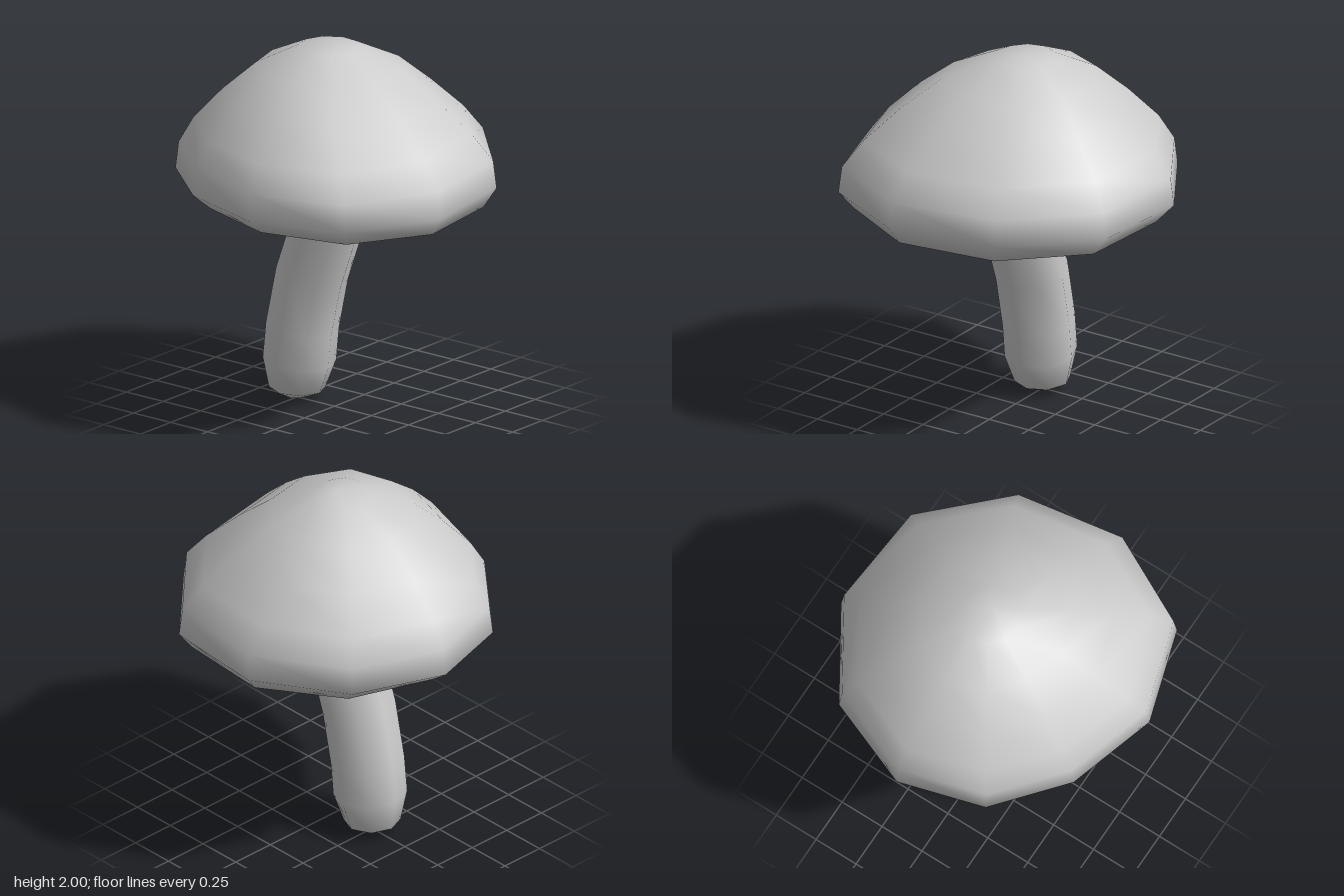
import * as THREE from 'three';
import { mergeVertices } from 'three/addons/utils/BufferGeometryUtils.js';

// Skin a stack of equal-sized closed rings, listed top to bottom, with smooth normals
function loft(rings) {
  const n = rings[0].length;
  const geo = new THREE.BufferGeometry().setFromPoints(rings.flat());
  const index = [];
  for (let i = 0; i < rings.length - 1; i++) {
    for (let j = 0; j < n; j++) {
      const k = (j + 1) % n;
      const a = i * n + j, b = i * n + k, c = a + n, d = b + n;
      index.push(a, b, c, b, d, c);
    }
  }
  geo.setIndex(index);
  const merged = mergeVertices(geo, 1e-4);
  merged.computeVertexNormals();
  return merged;
}

// Irregular ten-sided outline of the cap seen from above: x, z
const outline = [
  [0.07, -0.885], [0.56, -0.69], [0.86, -0.21], [0.81, 0.37], [0.39, 0.78],
  [-0.21, 0.88], [-0.70, 0.63], [-0.86, 0.12], [-0.71, -0.38], [-0.40, -0.75],
];

// Cap profile from the crown, over the rim and into the hollow underside:
// outline scale, height, shift in x, shift in z, dip towards the front left
const capProfile = [
  [0, 2.0, 0.03, -0.01, 0],
  [0.19, 1.98, 0.02, -0.05, 0],
  [0.46, 1.87, 0.01, -0.045, 0],
  [0.67, 1.72, 0, -0.035, 0],
  [0.87, 1.55, 0, -0.02, 0],
  [0.98, 1.415, 0, 0, 0],
  [1, 1.27, 0, 0, 0],
  [0.9, 1.178, 0, 0.02, 0.014],
  [0.82, 1.22, 0, 0.02, 0.012],
  [0.6, 1.38, 0, 0.02, 0],
  [0.35, 1.5, 0, 0.03, 0],
  [0, 1.54, 0, 0.04, 0],
];

// Stem stations from the flared joint to the rounded foot: y, z, radius
const stemStations = [
  [1.53, 0.045, 0.27],
  [1.43, 0.04, 0.215],
  [1.13, 0, 0.195],
  [0.71, -0.15, 0.195],
  [0.41, -0.215, 0.195],
  [0.22, -0.235, 0.195],
  [0.06, -0.25, 0.15],
  [0.012, -0.245, 0.06],
  [0.002, -0.245, 0],
];

function stemRing([y, z, r], i, all) {
  const up = all[Math.max(i - 1, 0)], down = all[Math.min(i + 1, all.length - 1)];
  const lean = Math.atan2(up[1] - down[1], up[0] - down[0]);
  return Array.from({ length: 8 }, (_, j) => {
    const a = (j / 8) * Math.PI * 2;
    const side = r * Math.sin(a);
    return new THREE.Vector3(r * Math.cos(a), y - side * Math.sin(lean), z + side * Math.cos(lean));
  });
}

export function createModel() {
  const model = new THREE.Group();
  model.name = 'mushroom';
  const material = new THREE.MeshStandardMaterial({ color: 0xcccccc });

  // Domed cap with hollow underside
  const capRings = capProfile.map(([s, y, dx, dz, dip]) =>
    outline.map(([x, z]) => new THREE.Vector3(x * s + dx, y - dip * (x + z), z * s + dz)));
  const cap = new THREE.Mesh(loft(capRings), material);
  cap.name = 'cap';

  // Curved stem leaning back towards its foot
  const stem = new THREE.Mesh(loft(stemStations.map(stemRing)), material);
  stem.name = 'stem';

  model.add(cap, stem);
  return model;
}
